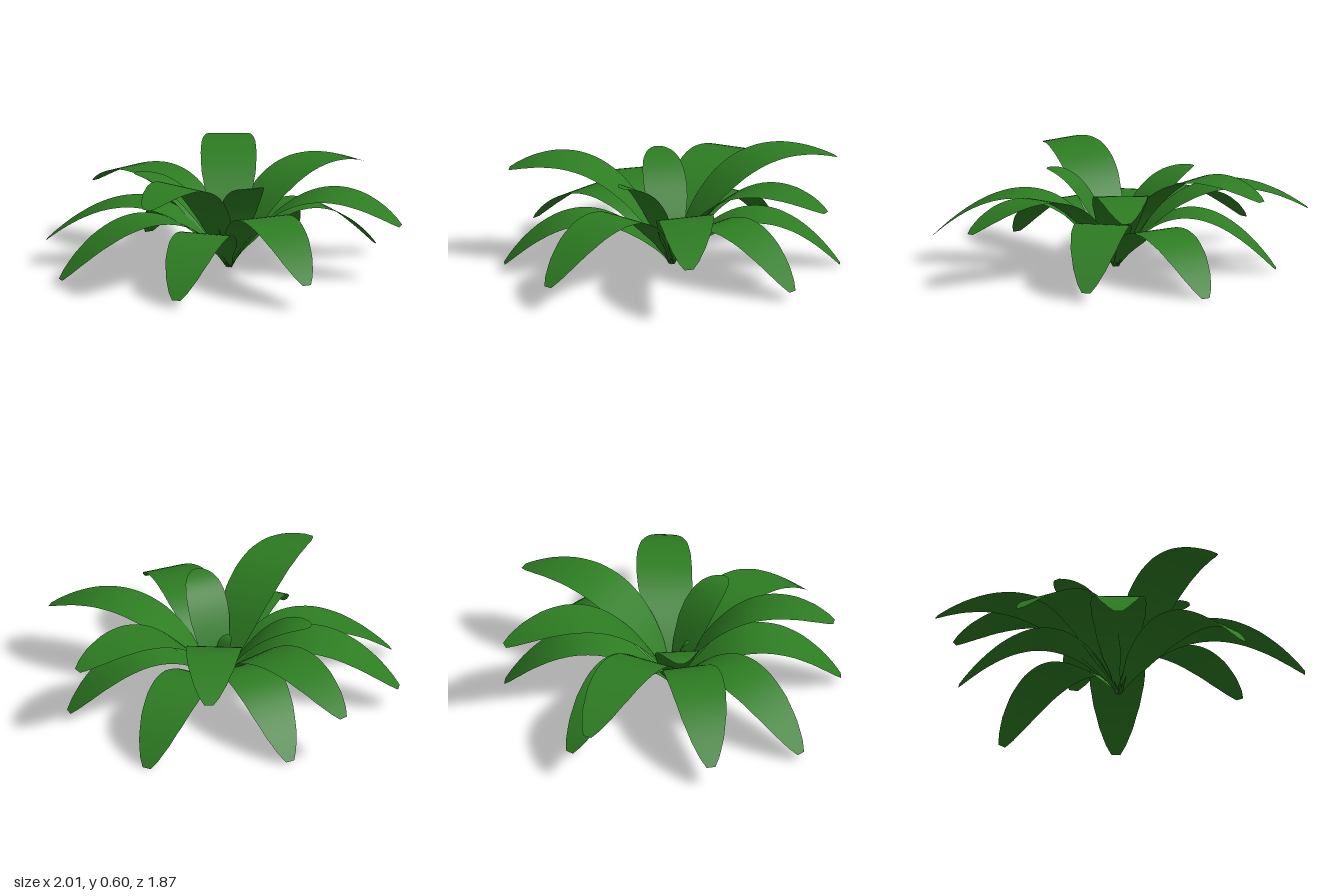
import * as THREE from 'three';

const leafGreen = new THREE.MeshStandardMaterial({ color: 0x2d7c22, side: THREE.DoubleSide });
leafGreen.name = 'leafGreen';

// Blade width along the leaf, as a share of its full width
const OUTLINE = [[0, 0.12], [0.08, 0.3], [0.15, 0.58], [0.25, 0.79], [0.4, 0.97], [0.52, 1], [0.65, 0.96],
  [0.78, 0.83], [0.89, 0.61], [0.96, 0.38], [1, 0.16]];

function outlineAt(t) {
  let i = 1;
  while (i < OUTLINE.length - 1 && OUTLINE[i][0] < t) i++;
  const [t0, w0] = OUTLINE[i - 1], [t1, w1] = OUTLINE[i];
  return w0 + (w1 - w0) * (t - t0) / (t1 - t0);
}

// Arched blade from the heart of the plant to a tip; peak is its highest point,
// bow bends it sideways and roll tips its surface to one side
function leaf({ name, tip: [x, y, z], peak, width = 0.31, lean = 0.42, bow = 0, roll = 0 }) {
  const reach = Math.hypot(x, z);
  const pull = peak + Math.sqrt(peak * peak - peak * y);
  const arch = new THREE.QuadraticBezierCurve(
    new THREE.Vector2(0, 0.01), new THREE.Vector2(reach * lean, pull), new THREE.Vector2(reach, y));
  const geo = new THREE.PlaneGeometry(1, 1, 2, 28);
  const pos = geo.attributes.position;
  for (let i = 0; i < pos.count; i++) {
    const t = THREE.MathUtils.clamp(pos.getY(i) + 0.5, 0, 1);
    const p = arch.getPoint(t);
    const side = -pos.getX(i) * width * outlineAt(t);
    pos.setXYZ(i, side + bow * Math.sin(Math.PI * t), p.y + side * roll, p.x);
  }
  geo.computeVertexNormals();
  const mesh = new THREE.Mesh(geo, leafGreen);
  mesh.name = name;
  mesh.rotation.y = Math.atan2(x, z);
  return mesh;
}

const LEAVES = [
  // low drooping leaves
  { name: 'lowBackLeaf', tip: [0.04, 0, -0.93], peak: 0.29, lean: 0.5 },
  { name: 'lowBackLeftLeaf', tip: [0.635, 0.05, -0.625], peak: 0.33 },
  { name: 'lowFrontLeaf', tip: [0.02, 0.04, 0.93], peak: 0.3, lean: 0.5 },
  { name: 'lowFrontRightLeaf', tip: [-0.74, 0.04, 0.7], peak: 0.33 },
  { name: 'lowBackRightLeaf', tip: [-0.675, 0.015, -0.58], peak: 0.32 },
  // middle leaves
  { name: 'frontLeftLeaf', tip: [0.72, 0.14, 0.74], peak: 0.4 },
  { name: 'leftLeaf', tip: [1, 0.32, -0.025], peak: 0.46, bow: 0.03, roll: 0.08 },
  { name: 'rightLeaf', tip: [-1, 0.13, 0.2], peak: 0.37, bow: 0.02 },
  { name: 'backRightLeaf', tip: [-0.955, 0.31, -0.485], peak: 0.46 },
  // high leaves
  { name: 'highBackRightLeaf', tip: [-0.335, 0.5, -0.935], peak: 0.585, lean: 0.36 },
  { name: 'highBackLeftLeaf', tip: [0.5, 0.46, -0.82], peak: 0.535, lean: 0.36 },
  { name: 'highFrontLeaf', tip: [-0.17, 0.53, 0.89], peak: 0.595, lean: 0.38, roll: -0.07 },
  // young inner leaves
  { name: 'innerRightLeaf', tip: [-0.54, 0.51, 0.04], peak: 0.51, width: 0.24, lean: 0.42 },
  { name: 'innerFrontLeaf', tip: [0.255, 0.545, 0.3], peak: 0.545, width: 0.23, lean: 0.42 },
  { name: 'heartLeaf', tip: [-0.03, 0.3, 0.09], peak: 0.3, width: 0.09, lean: 0.3 },
];

export function createModel() {
  const plant = new THREE.Group();
  plant.name = 'plant';
  for (const spec of LEAVES) plant.add(leaf(spec));
  return plant;
}
